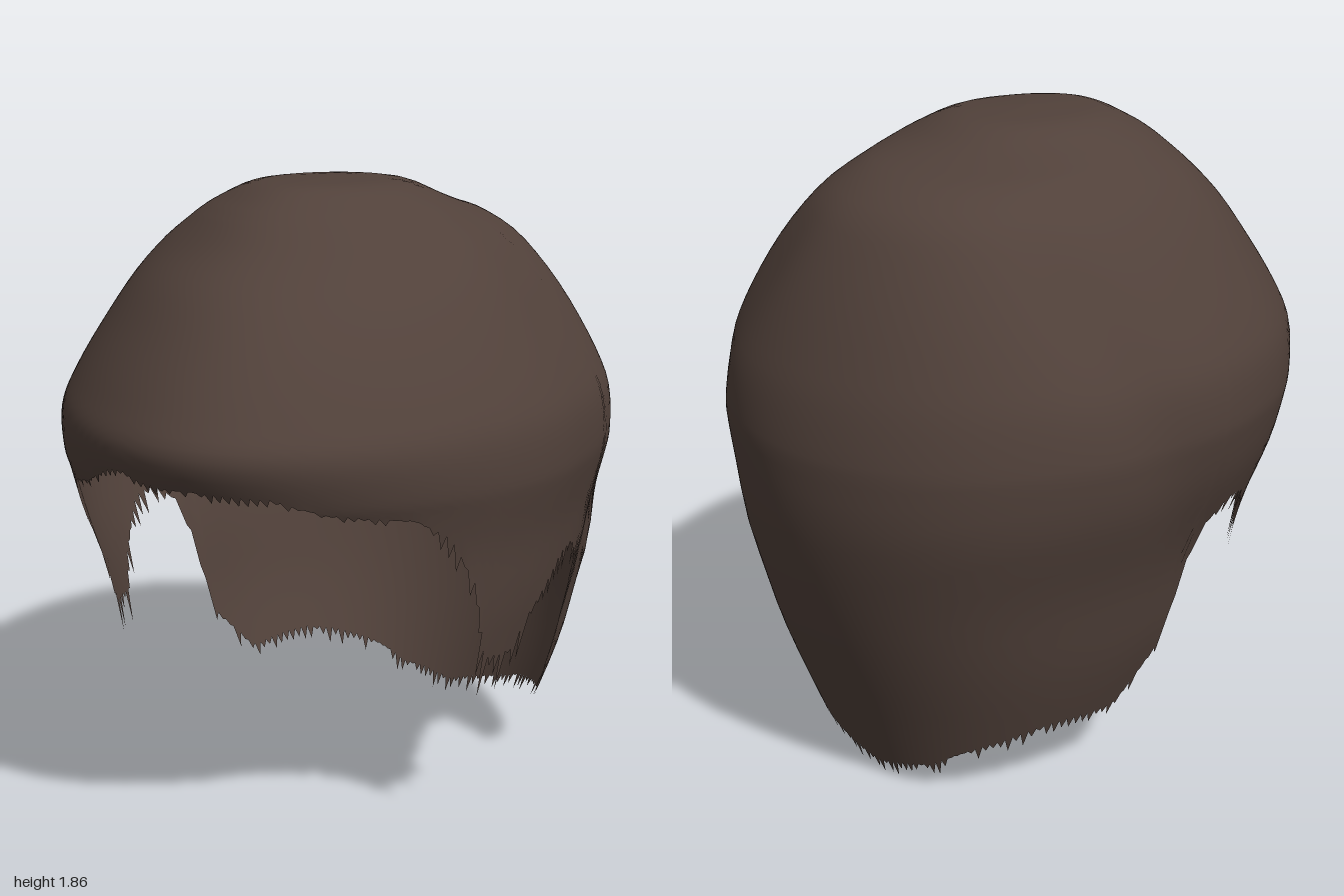
import * as THREE from 'three';

// Horizontal sections from crown to nape: height, half width, front reach, back reach
const SECTIONS = [
  [1.867, 0, 0, 0], [1.862, 0.12, 0.17, 0.15], [1.85, 0.23, 0.29, 0.27], [1.805, 0.33, 0.39, 0.38],
  [1.775, 0.38, 0.44, 0.49], [1.745, 0.42, 0.48, 0.62], [1.68, 0.5, 0.56, 0.735], [1.58, 0.585, 0.705, 0.81],
  [1.45, 0.67, 0.84, 0.88], [1.32, 0.745, 0.945, 0.935], [1.22, 0.785, 0.998, 0.97], [1.1, 0.795, 0.95, 0.995],
  [1.02, 0.785, 0.9, 1.0], [0.85, 0.745, 0.86, 0.99], [0.6, 0.68, 0.86, 0.93], [0.4, 0.635, 0.86, 0.87],
  [0.2, 0.565, 0.86, 0.8], [0, 0.48, 0.86, 0.73],
];

// Hem height by angle in degrees: brow, sideburn, ear arch, nape
const HEM = [
  [0, 1.14], [18, 1.13], [28, 1.08], [45, 1.04], [53, 0.97], [60, 0.82], [65, 0.62], [67, 0.57],
  [76, 0.56], [80, 0.66], [87, 0.75], [91, 0.8], [97, 0.81], [102, 0.75], [105, 0.58], [107, 0.36],
  [117, 0.21], [135, 0.17], [150, 0.11], [170, 0.05], [180, 0.07],
];

const COLS = 360, ROWS = 44;
const { smoothstep, lerp } = THREE.MathUtils;

function createRandom(seed) {
  return () => (seed = (seed * 16807) % 2147483647) / 2147483647;
}

// Smooth section at parameter u (0 crown, 1 nape)
function section(u) {
  const last = SECTIONS.length - 1;
  const f = Math.min(u, 0.99999) * last, i = Math.floor(f), t = f - i;
  const at = (k) => SECTIONS[Math.max(0, Math.min(last, k))];
  return [0, 1, 2, 3].map((c) => {
    const a = at(i - 1)[c], b = at(i)[c], d = at(i + 1)[c], e = at(i + 2)[c];
    return b + 0.5 * t * (d - a + t * (2 * a - 5 * b + 4 * d - e + t * (3 * (b - d) + e - a)));
  });
}

// Parameter at which the surface reaches height y
function paramAt(y) {
  let lo = 0, hi = 1;
  for (let k = 0; k < 22; k++) {
    const mid = (lo + hi) / 2;
    if (section(mid)[0] > y) lo = mid; else hi = mid;
  }
  return hi;
}

function hemHeight(deg, side) {
  let i = 0;
  while (i < HEM.length - 2 && HEM[i + 1][0] < deg) i++;
  const [a0, y0] = HEM[i], [a1, y1] = HEM[i + 1];
  const y = lerp(y0, y1, (deg - a0) / (a1 - a0));
  // brow and nape sit a little higher on the right
  if (side > 0) return y;
  const nape = deg > 120 ? 0.07 * Math.sin(((deg - 120) / 60) * Math.PI) : 0;
  return y + nape + 0.05 * Math.exp(-(((deg - 24) / 9) ** 2));
}

function hairPoint(angle, u) {
  const [y, w, front, back] = section(u);
  const s = Math.sin(angle), c = Math.cos(angle);
  const deg = (Math.acos(c) * 180) / Math.PI;
  const fade = smoothstep(1.8 - y, 0.02, 0.35);
  // groove rising from behind the ear towards the back of the crown
  const offset = (deg - (108 + 35 * Math.max(0, y - 0.7))) / 10;
  const groove = 1 - 0.018 * fade * Math.exp(-offset * offset);
  // fuller back corners, most of all on the left
  const corner = c < 0 ? 4 * s * s * c * c : 0;
  const leftBulge = s > 0 ? 0.03 * fade * Math.exp(-(((deg - 117) / 15) ** 2)) : 0;
  const fullness = corner * lerp(0.01, 0.05, (s + 1) / 2) * smoothstep(1.85 - y, 0, 0.2);
  const radial = groove * (1 + fullness + leftBulge);
  // brow narrows to a blunt point set slightly to the left
  const taper = c > 0 ? 1 - lerp(0.1, 0.18, smoothstep(y, 1.0, 1.3)) * c * c : 1;
  const shift = 0.03 * smoothstep(0.95 - y, 0, 0.3) + (c > 0 ? 0.06 * c * c * fade : 0);
  return [w * s * taper * radial + shift, y, (c > 0 ? front : back) * c * radial];
}

function createHairGeometry() {
  const random = createRandom(41);
  const positions = [], index = [];
  for (let col = 0; col < COLS; col++) {
    const angle = (col / COLS) * Math.PI * 2;
    const deg = (Math.acos(Math.cos(angle)) * 180) / Math.PI;
    const hem = hemHeight(deg, Math.sin(angle));
    const uHem = paramAt(hem);
    for (let row = 0; row < ROWS; row++) {
      positions.push(...hairPoint(angle, (uHem * row) / (ROWS - 1)));
    }
    // ragged strand tips along the hem, longest on the sideburns
    const length = deg > 62 && deg < 82 ? 0.13 : deg < 50 ? 0.03 : deg < 110 ? 0.08 : 0.06;
    const tip = col % 2 ? length * (0.1 + 0.9 * random()) : 0.004;
    positions.push(...hairPoint(angle, paramAt(Math.max(0.001, hem - tip))));
  }
  const stride = ROWS + 1;
  for (let col = 0; col < COLS; col++) {
    const next = (col + 1) % COLS;
    for (let row = 0; row < ROWS; row++) {
      const a = col * stride + row, b = next * stride + row;
      if (row > 0) index.push(a, b + 1, b);
      index.push(a, a + 1, b + 1);
    }
  }
  const geometry = new THREE.BufferGeometry();
  geometry.setAttribute('position', new THREE.Float32BufferAttribute(positions, 3));
  geometry.setIndex(index);
  geometry.computeVertexNormals();
  return geometry;
}

export function createModel() {
  const group = new THREE.Group();
  group.name = 'hair';
  const brown = new THREE.MeshStandardMaterial({ color: 0x51413a, side: THREE.DoubleSide });
  brown.name = 'dark brown';
  const shell = new THREE.Mesh(createHairGeometry(), brown);
  shell.name = 'hairShell';
  group.add(shell);
  return group;
}
